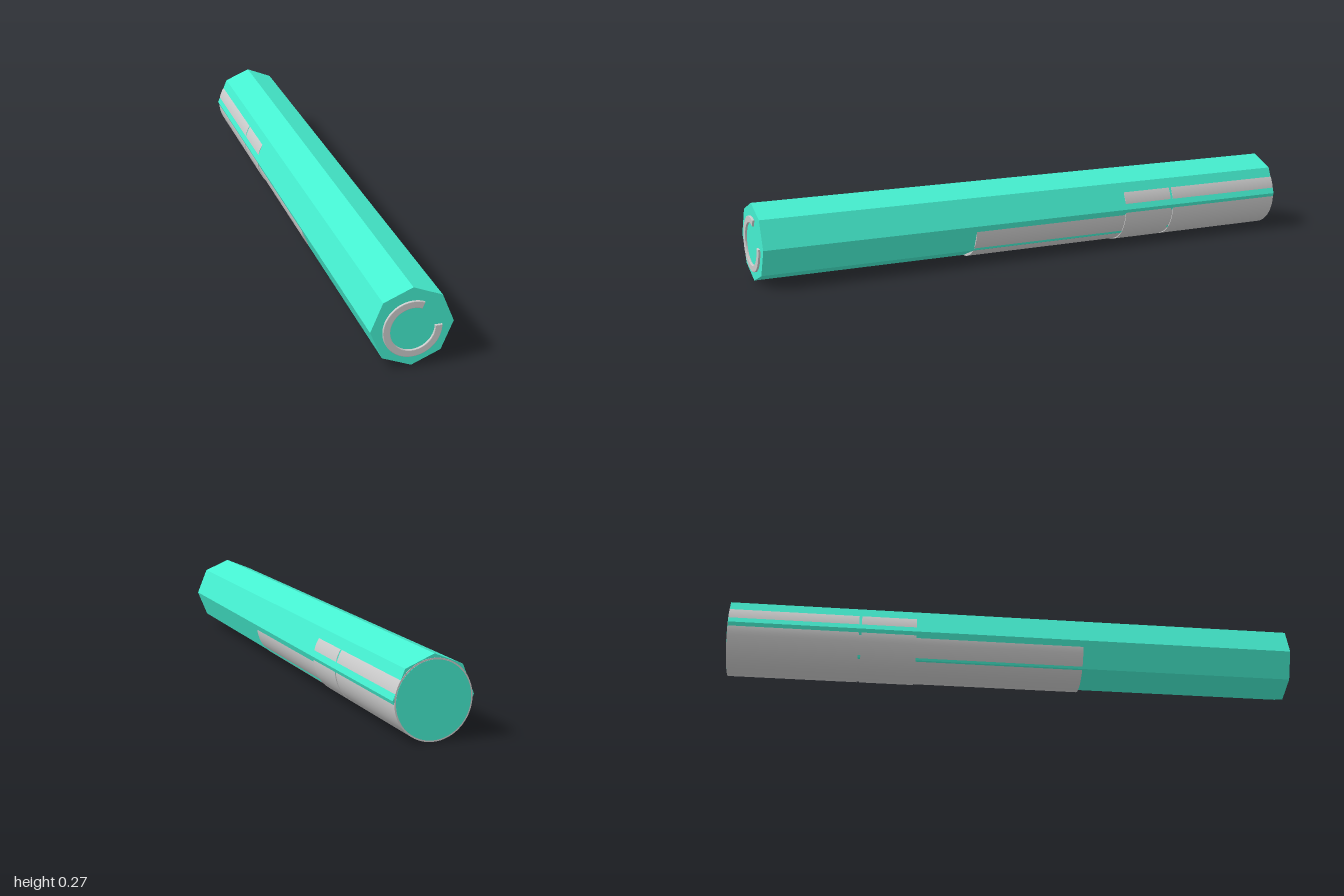
import * as THREE from 'three';

export function createModel() {
  const model = new THREE.Group();
  const green = new THREE.MeshStandardMaterial({ color: 0x45efd0, flatShading: true });
  const grey = new THREE.MeshStandardMaterial({ color: 0xcccccc });

  // Cylinder lying along z between two z positions
  function rod(name, radius, y, z0, z1, sides, material) {
    const geometry = new THREE.CylinderGeometry(radius, radius, z1 - z0, sides);
    geometry.rotateX(Math.PI / 2);
    const mesh = new THREE.Mesh(geometry, material);
    mesh.name = name;
    mesh.position.set(0, y, (z0 + z1) / 2);
    model.add(mesh);
  }

  // Octagonal outer shaft, with a corner at the top
  rod('octagonalShaft', 0.132, 0.135, -0.998, 0.993, 8, green);

  // Round core sits a little lower, so it shows through the lower faces
  rod('core', 0.124, 0.127, -0.99, 0.24, 64, grey);
  rod('frontSleeve', 0.127, 0.127, -0.541, -0.35, 64, grey);
  rod('rearSleeve', 0.127, 0.127, -0.999, -0.55, 64, grey);
  rod('rearCap', 0.122, 0.127, -1, -0.99, 64, green);

  // Raised open ring on the front end
  const start = THREE.MathUtils.degToRad(68);
  const end = Math.PI * 2;
  const arc = new THREE.Shape();
  arc.absarc(0, 0, 0.092, start, end, false);
  arc.absarc(0, 0, 0.073, end, start, true);
  arc.closePath();
  const ringGeometry = new THREE.ExtrudeGeometry(arc, {
    depth: 0.008, curveSegments: 48,
    bevelThickness: 0.002, bevelSize: 0.002, bevelSegments: 2,
  });
  const ring = new THREE.Mesh(ringGeometry, grey);
  ring.name = 'frontOpenRing';
  ring.position.set(0, 0.129, 0.99);
  model.add(ring);

  return model;
}
